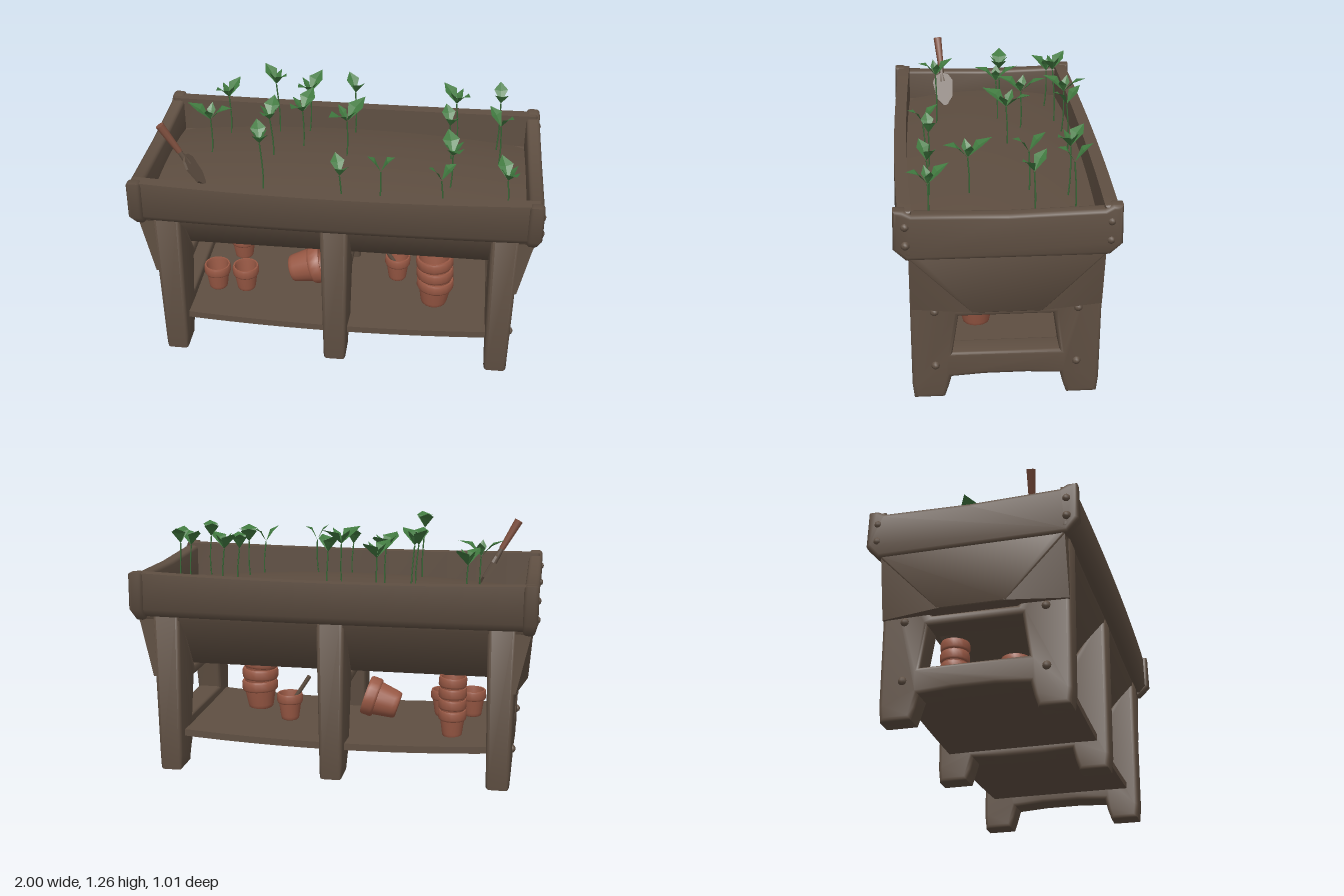
import * as THREE from 'three';
import { toCreasedNormals } from 'three/addons/utils/BufferGeometryUtils.js';
import { ConvexGeometry } from 'three/addons/geometries/ConvexGeometry.js';

const paint = (name, color, side = THREE.FrontSide) => {
  const m = new THREE.MeshStandardMaterial({ color, side });
  m.name = name;
  return m;
};

export function createModel() {
  const root = new THREE.Group();
  root.name = 'plantingTable';
  const wood = paint('wood', 0x5f4f42);
  const soilMat = paint('soil', 0x5d4d40);
  const clay = paint('terracotta', 0x985844, THREE.DoubleSide);
  const leafMat = paint('leaf', 0x417a40, THREE.DoubleSide);
  const stemMat = paint('stem', 0x3a6a38);
  const handleMat = paint('handle', 0x80503f);

  const add = (name, geo, mat, parent = root) => {
    const mesh = new THREE.Mesh(geo, mat);
    mesh.name = name;
    parent.add(mesh);
    return mesh;
  };

  // Move every vertex by a rule
  const warp = (geo, rule) => {
    const p = geo.attributes.position, v = new THREE.Vector3();
    for (let i = 0; i < p.count; i++) {
      rule(v.fromBufferAttribute(p, i));
      p.setXYZ(i, v.x, v.y, v.z);
    }
    return geo;
  };

  // Soft-edged timber: a [z, y] section swept along x
  const timber = (points, x0, x1, { steps = 1, bevel = 0.018, hole, rule } = {}) => {
    const outline = (pts) => pts.map(([z, y]) => new THREE.Vector2(-z, y));
    const shape = new THREE.Shape(outline(points));
    if (hole) shape.holes.push(new THREE.Path(outline(hole)));
    const geo = new THREE.ExtrudeGeometry(shape, {
      depth: x1 - x0 - 2 * bevel, steps, bevelEnabled: true,
      bevelThickness: bevel, bevelSize: bevel, bevelOffset: -bevel, bevelSegments: 3,
    });
    geo.translate(0, 0, bevel).rotateY(Math.PI / 2).translate(x0, 0, 0);
    if (rule) warp(geo, rule);
    return toCreasedNormals(geo, 0.9);
  };
  const mirrored = (half) => [...half, ...half.map(([z, y]) => [-z, y]).reverse()];

  // V-shaped trough
  add('trough', timber(mirrored([[0.44, 0.85], [0.435, 0.79], [0.16, 0.5]]), -0.968, 0.968, {
    steps: 12, bevel: 0.008,
    rule: (v) => { if (v.y < 0.6) v.x *= 0.98; },
  }), wood);

  // Sloping gussets that blend the trough ends into the corner legs
  for (const s of [1, -1]) for (const t of [1, -1]) {
    const corners = [[0.967, 0.82, 0.435], [0.948, 0.502, 0.15], [0.897, 0.5, 0.437],
      [0.82, 0.82, 0.435], [0.82, 0.5, 0.437], [0.82, 0.5, 0.15], [0.962, 0.82, 0.2]];
    const geo = new ConvexGeometry(corners.map(([x, y, z]) => new THREE.Vector3(x * s, y, z * t)));
    add('cornerGusset', toCreasedNormals(geo, 0.6), wood);
  }

  // Long rim boards, bowed outward and sagging in the middle
  for (const s of [1, -1]) {
    add(s > 0 ? 'frontRim' : 'backRim', timber(
      [[0.44, 1.02], [0.5, 1.02], [0.505, 0.85], [0.47, 0.81], [0.44, 0.81]].map(([z, y]) => [z * s, y]),
      -0.98, 0.98, {
        steps: 12, bevel: 0.016,
        rule: (v) => {
          v.z -= s * 0.022 * v.x * v.x;
          if (v.y > 0.95) v.y += 0.016 * v.x * v.x - 0.004;
        },
      }), wood);
  }

  // End rim boards with chamfered lower corners
  const endBoard = mirrored([[0, 1.005], [0.42, 1.015], [0.455, 1.035], [0.5, 1.035], [0.505, 0.85], [0.45, 0.79]]);
  endBoard.pop();
  for (const s of [1, -1]) {
    add(s > 0 ? 'leftEndRim' : 'rightEndRim', timber(endBoard, s > 0 ? 0.92 : -0.99, s > 0 ? 0.99 : -0.92, {
      bevel: 0.018, rule: (v) => { if (v.y < 0.815 && s * v.x > 0.95) v.x -= s * 0.012; },
    }), wood);
  }

  // Soil bed, gently domed
  const soil = new THREE.PlaneGeometry(1.88, 0.92, 20, 12).rotateX(-Math.PI / 2);
  warp(soil, (v) => { v.y = 0.935 - 0.05 * ((v.x / 0.94) ** 2 + (v.z / 0.46) ** 2); });
  soil.computeVertexNormals();
  add('soil', soil, soilMat);

  // Three leg frames, each with two legs and a cross rail; the middle rail stays under the shelf
  const frame = (railY) => mirrored([[0.2, 0.5], [0.415, 0.83], [0.44, 0.81], [0.44, 0.08], [0.432, 0.006],
    [0.288, 0.006], [0.27, 0.06], [0.255, 0.12], [0.1, railY]]);
  const opening = (y) => [[0.25, y], [-0.25, y], [-0.22, 0.45], [0.22, 0.45]];
  for (const [x, name] of [[-0.825, 'rightLegFrame'], [0, 'middleLegFrame'], [0.825, 'leftLegFrame']]) {
    add(name, timber(frame(x ? 0.13 : 0.11), x - 0.07, x + 0.07, {
      hole: opening(x ? 0.25 : 0.165), bevel: 0.02,
      rule: (v) => { v.x = x + (v.x - x) * (v.y < 0.1 ? 0.82 : v.y < 0.3 ? 0.92 : 1); },
    }), wood);
  }

  // Sagging shelf
  add('shelf', timber([[0.38, 0.2], [0.38, 0.165], [-0.38, 0.165], [-0.38, 0.2]], -0.85, 0.85, {
    steps: 12, bevel: 0.008, rule: (v) => { v.y += 0.045 * v.x * v.x - 0.018; },
  }), wood);

  // Rounded pegs on the end faces
  const pegGeo = new THREE.SphereGeometry(0.021, 10, 6);
  for (const s of [1, -1]) for (const t of [1, -1]) {
    for (const [x, y, z] of [[0.979, 0.96, 0.45], [0.979, 0.87, 0.45], [0.888, 0.48, 0.33], [0.884, 0.19, 0.33]]) {
      add('peg', pegGeo, wood).position.set(s * x, y, t * z);
    }
  }

  // Clay pots: unit profile with a thick rounded lip and hollow inside
  const potGeo = toCreasedNormals(new THREE.LatheGeometry(
    [[0, 0], [0.62, 0], [0.68, 0.04], [0.72, 0.14], [0.86, 0.64], [0.95, 0.65], [1, 0.71], [1, 0.93], [0.95, 1],
      [0.84, 1], [0.8, 0.9], [0.62, 0.14], [0, 0.12]].map(([r, y]) => new THREE.Vector2(r, y)), 18), 0.9);
  const pot = (x, y, z, r, h, tilt = 0) => {
    const m = add('pot', potGeo, clay);
    m.scale.set(r, h, r);
    m.position.set(x, y, z);
    m.rotation.z = tilt;
  };
  pot(-0.66, 0.205, 0.13, 0.07, 0.14);
  pot(-0.51, 0.2, 0.12, 0.07, 0.14);
  pot(0.285, 0.195, -0.07, 0.068, 0.14);
  pot(-0.278, 0.268, 0.02, 0.105, 0.18, -1.27);
  for (let i = 0; i < 4; i++) pot(-0.58 + 0.004 * (i % 2), 0.19 + i * 0.058, -0.19, 0.071, 0.14, 0.03 * (i % 2));
  for (let i = 0; i < 3; i++) pot(0.49 + 0.004 * i, 0.19 + i * 0.067, 0.12, 0.097, 0.155, -0.04 + 0.06 * i);

  // Round rod between two points
  const rod = (name, a, b, ra, rb, mat, parent = root) => {
    const A = new THREE.Vector3(...a), B = new THREE.Vector3(...b), d = B.clone().sub(A);
    const m = add(name, new THREE.CylinderGeometry(rb, ra, d.length(), 8), mat, parent);
    m.position.copy(A).lerp(B, 0.5);
    m.quaternion.setFromUnitVectors(new THREE.Vector3(0, 1, 0), d.normalize());
  };
  rod('dibberStick', [0.3, 0.24, -0.07], [0.18, 0.43, -0.07], 0.011, 0.011, wood);

  // Trowel stuck in the soil, built along its own y axis
  const trowel = new THREE.Group();
  trowel.name = 'trowel';
  trowel.position.set(-0.67, 0.88, 0.22);
  trowel.quaternion.setFromUnitVectors(new THREE.Vector3(0, 1, 0), new THREE.Vector3(-0.19, 0.34, 0.035).normalize());
  root.add(trowel);
  rod('trowelHandle', [0, 0.23, 0], [0, 0.4, 0], 0.015, 0.022, handleMat, trowel);
  rod('trowelNeck', [0, 0.15, 0], [0, 0.25, 0], 0.017, 0.011, wood, trowel);
  const blade = new THREE.Shape([[0, 0], [0.045, 0.06], [0.056, 0.15], [0.035, 0.185], [0, 0.2], [-0.035, 0.185],
    [-0.056, 0.15], [-0.045, 0.06]].map(([x, y]) => new THREE.Vector2(x, y)));
  const bladeGeo = new THREE.ExtrudeGeometry(blade, { depth: 0.012, bevelEnabled: false }).rotateY(Math.PI / 2);
  add('trowelBlade', bladeGeo, wood, trowel);

  // Folded leaf from stem top to tip, widest near the middle
  const leaf = (base, tip, width, arch, parent) => {
    const d = tip.clone().sub(base);
    const side = new THREE.Vector3(-d.z, 0, d.x).normalize().multiplyScalar(width);
    const mid = base.clone().addScaledVector(d, 0.45);
    mid.y += arch;
    const lift = new THREE.Vector3(0, width * 0.25, 0);
    const L = mid.clone().add(side).add(lift), R = mid.clone().sub(side).add(lift);
    const geo = new THREE.BufferGeometry().setFromPoints(
      [base, mid, L, base, R, mid, mid, tip, L, mid, R, tip]);
    geo.computeVertexNormals();
    add('leaf', geo, leafMat, parent);
  };

  // Seedlings: the two leaf tips in plan (x, z, x, z) and the height
  const seedlings = [
    [-0.6, -0.42, -0.7, -0.26, 1.18], [-0.46, -0.41, -0.33, -0.28, 1.27], [-0.17, -0.49, -0.27, -0.28, 1.21],
    [-0.02, -0.44, 0.06, -0.3, 1.23], [0.48, -0.39, 0.62, -0.25, 1.22], [0.77, -0.39, 0.78, -0.23, 1.24],
    [-0.81, -0.09, -0.58, -0.07, 1.18], [-0.37, -0.15, -0.39, 0.07, 1.22], [-0.19, -0.28, -0.27, -0.04, 1.21],
    [0.09, -0.18, -0.07, 0.05, 1.22], [0.5, -0.21, 0.55, -0.05, 1.19], [0.72, -0.19, 0.84, -0.07, 1.2],
    [0.52, 0.04, 0.58, 0.27, 1.18], [-0.4, 0.19, -0.35, 0.37, 1.26], [-0.01, 0.28, 0.05, 0.43, 1.15],
    [0.15, 0.34, 0.28, 0.32, 1.17], [0.44, 0.38, 0.57, 0.31, 1.15], [0.78, 0.25, 0.85, 0.44, 1.17],
  ];
  seedlings.forEach(([x1, z1, x2, z2, h], i) => {
    const plant = new THREE.Group();
    plant.name = 'seedling';
    root.add(plant);
    const cx = (x1 + x2) / 2, cz = (z1 + z2) / 2;
    const top = new THREE.Vector3(cx, h - 0.085, cz);
    const foot = new THREE.Vector3(cx + 0.012 * Math.sin(i * 2), 0.85, cz + 0.012 * Math.cos(i * 3));
    const bend = foot.clone().lerp(top, 0.5).add(new THREE.Vector3(0.006, 0, -0.006));
    add('stem', new THREE.TubeGeometry(new THREE.CatmullRomCurve3([foot, bend, top]), 6, 0.0038, 5), stemMat, plant);
    const span = Math.hypot(x2 - x1, z2 - z1), w = 0.019 + span * 0.1;
    leaf(top, new THREE.Vector3(x1, h, z1), w, 0.014, plant);
    leaf(top, new THREE.Vector3(x2, h - 0.01, z2), w, 0.02, plant);
    // young leaves across the main pair
    if (span > 0.18) for (const s of [1, -1]) {
      const tip = new THREE.Vector3(cx - s * (z2 - z1) * 0.22, h - 0.01, cz + s * (x2 - x1) * 0.22);
      leaf(top, tip, w * 0.55, 0.006, plant);
    }
  });

  return root;
}
